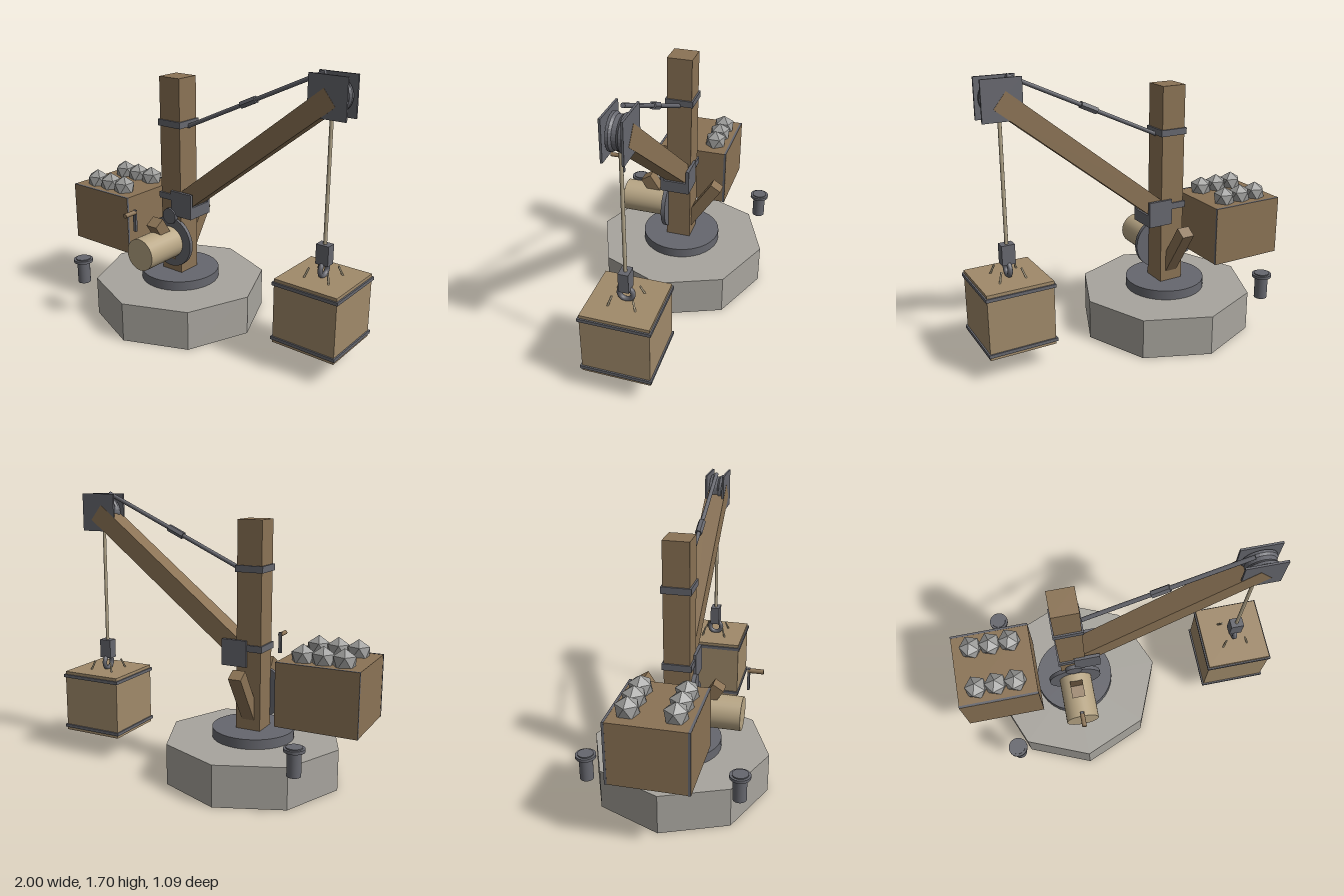
import * as THREE from 'three';

const mat = (color, flatShading = false) => {
  const m = new THREE.MeshStandardMaterial({ color });
  m.flatShading = flatShading;
  return m;
};
const wood = mat(0x8b7355), crateWood = mat(0xa08a6a), iron = mat(0x66676e);
const stone = mat(0xa8a59e, true), rock = mat(0x9c9c9a, true), rope = mat(0xb5a88c);

export function createModel() {
  const model = new THREE.Group();
  const add = (name, geo, material, x = 0, y = 0, z = 0, parent = model) => {
    const mesh = new THREE.Mesh(geo, material);
    mesh.name = name;
    mesh.position.set(x, y, z);
    parent.add(mesh);
    return mesh;
  };
  const box = (name, w, h, d, m, x, y, z) => add(name, new THREE.BoxGeometry(w, h, d), m, x, y, z);
  const cyl = (name, r, h, m, x, y, z, seg = 24) =>
    add(name, new THREE.CylinderGeometry(r, r, h, seg), m, x, y, z);
  // cylinder between two points
  const rod = (name, a, b, r, m, seg = 10) => {
    const p = new THREE.Vector3(...a), q = new THREE.Vector3(...b);
    const d = q.clone().sub(p);
    const mesh = cyl(name, r, d.length(), m, 0, 0, 0, seg);
    mesh.position.copy(p).add(q).multiplyScalar(0.5);
    mesh.quaternion.setFromUnitVectors(new THREE.Vector3(0, 1, 0), d.normalize());
    return mesh;
  };
  const cx = -0.28; // mast axis
  const hx = 0.785; // hoist axis

  // Plinth, turntable and mast
  cyl('plinth', 0.545, 0.25, stone, cx, 0.125, 0, 8);
  cyl('turntable', 0.25, 0.06, iron, cx, 0.28, 0, 32);
  box('mast', 0.156, 1.25, 0.156, wood, cx, 0.935, 0);
  for (const y of [0.81, 1.278]) box('mastBand', 0.176, 0.04, 0.176, iron, cx, y, 0);

  // Diagonal braces at the mast foot
  for (const s of [-1, 1]) {
    const brace = box('brace', 0.08, 0.435, 0.075, wood, cx, 0.503, s * 0.118);
    brace.rotation.x = s * 0.575;
  }

  // Jib with its foot bracket
  const jibAngle = Math.atan2(0.779, 0.99);
  const jib = box('jib', 1.26, 0.118, 0.125, wood, 0.305, 1.1825, 0);
  jib.rotation.z = jibAngle;
  for (const s of [-1, 1]) box('jibBracketPlate', 0.16, 0.16, 0.02, iron, -0.19, 0.775, s * 0.083);
  box('jibBracketSeat', 0.16, 0.075, 0.15, iron, -0.19, 0.7325, 0);

  // Jib head: cheek plates and grooved sheave
  for (const s of [-1, 1]) box('headPlate', 0.234, 0.234, 0.012, iron, hx, 1.572, s * 0.055);
  const profile = [[0.001, -0.04], [0.1, -0.04], [0.1, -0.025], [0.09, -0.012],
    [0.09, 0.012], [0.1, 0.025], [0.1, 0.04], [0.001, 0.04]].map(p => new THREE.Vector2(...p));
  const sheaveMat = mat(0x66676e, true);
  add('sheave', new THREE.LatheGeometry(profile, 32), sheaveMat, hx, 1.572, 0).rotation.x = Math.PI / 2;

  // Tie rod with turnbuckle
  rod('tieRod', [-0.2, 1.26, 0], [0.735, 1.69, 0], 0.013, iron);
  rod('turnbuckle', [0.2, 1.444, 0], [0.3, 1.49, 0], 0.023, mat(0x66676e, true), 6);

  // Hoist rope, block and hook
  rod('hoistRope', [hx, 0.73, 0], [hx, 1.572, 0], 0.011, rope);
  box('hookBlock', 0.08, 0.12, 0.06, iron, hx, 0.68, 0);
  add('hook', new THREE.TorusGeometry(0.04, 0.015, 10, 24), iron, hx, 0.587, 0).rotation.y = Math.PI / 2;

  // Hanging crate with straps and sling ends
  box('crate', 0.4, 0.4, 0.4, crateWood, hx, 0.343, 0);
  for (const y of [0.172, 0.514]) box('crateStrap', 0.418, 0.02, 0.418, iron, hx, y, 0);
  for (const sx of [-1, 1]) for (const sz of [-1, 1])
    rod('slingEnd', [hx + sx * 0.08, 0.54, sz * 0.08], [hx + sx * 0.06, 0.6, sz * 0.06], 0.006, rope, 6);

  // Counterweight box, side plates and rocks
  box('counterweightBox', 0.484, 0.374, 0.468, wood, -0.758, 0.602, 0);
  for (const s of [-1, 1]) {
    box('counterweightPlate', 0.486, 0.376, 0.014, iron, -0.758, 0.602, s * 0.2265);
    for (let i = 0; i < 3; i++) {
      const r = add('ballastRock', new THREE.IcosahedronGeometry(0.074, 0), rock,
        -0.88 + i * 0.12, 0.814, s * 0.13);
      r.rotation.z = 0.5536;
    }
  }

  // Winch drum, gear wheel and pinion
  cyl('winchGear', 0.165, 0.025, iron, cx, 0.513, 0.082, 32).rotation.x = Math.PI / 2;
  cyl('winchDrum', 0.102, 0.29, mat(0xb8a685), cx, 0.513, 0.232, 28).rotation.x = Math.PI / 2;
  cyl('winchPinion', 0.052, 0.025, iron, cx, 0.685, 0.09, 16).rotation.x = Math.PI / 2;

  // Crank
  box('crankArm', 0.02, 0.135, 0.014, iron, cx, 0.747, 0.405);
  rod('crankHandle', [cx, 0.8, 0.4], [cx, 0.8, 0.49], 0.014, wood, 12);

  // Mooring bollards
  for (const s of [-1, 1]) {
    cyl('bollardPost', 0.04, 0.15, iron, -0.722, 0.31, s * 0.442);
    cyl('bollardRim', 0.06, 0.018, iron, -0.722, 0.384, s * 0.442);
    cyl('bollardCap', 0.046, 0.01, iron, -0.722, 0.395, s * 0.442);
  }
  return model;
}
